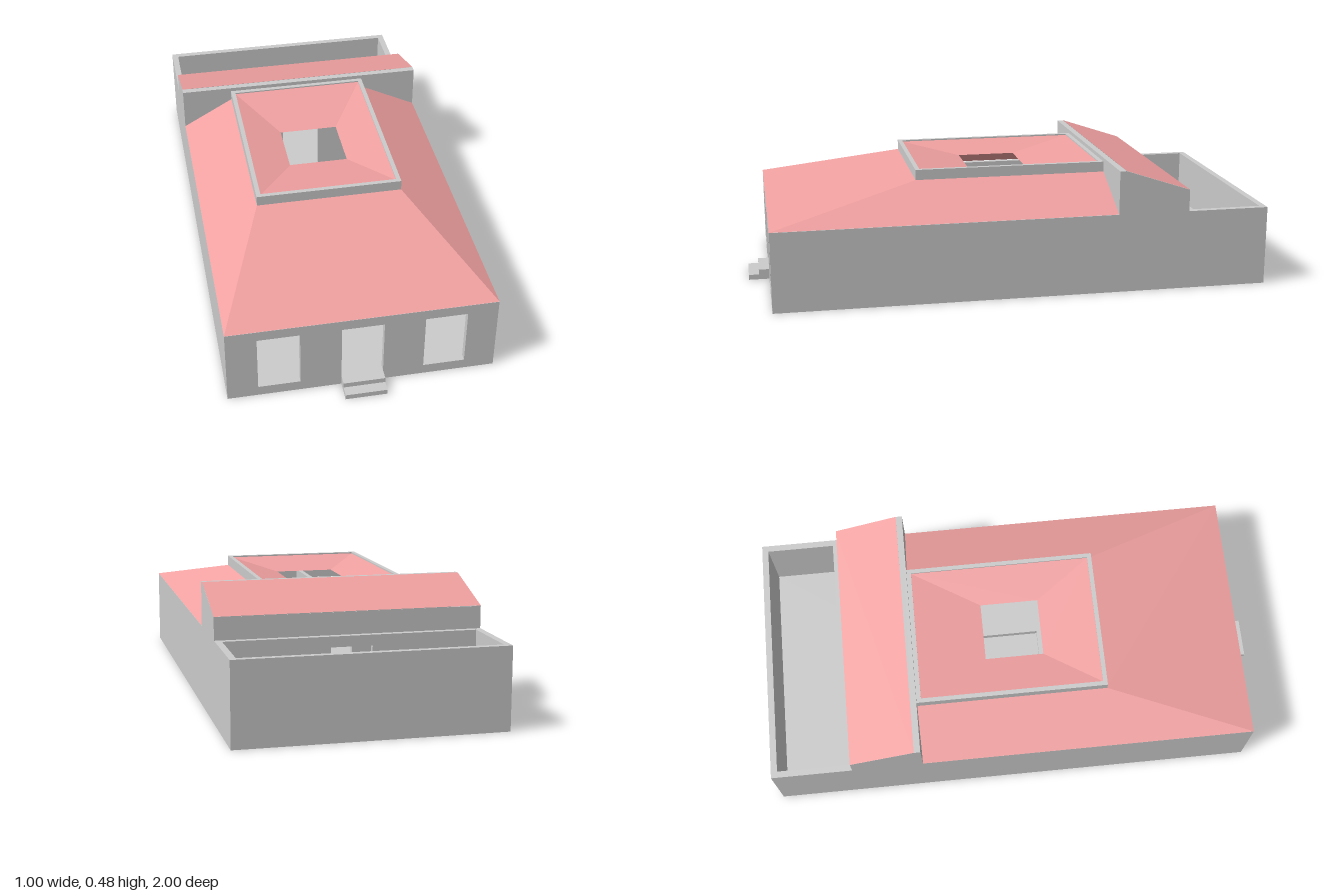
import * as THREE from 'three';

const grey = new THREE.MeshStandardMaterial({ color: 0xcccccc, flatShading: true });
const red = new THREE.MeshStandardMaterial({ color: 0xf0a0a0, flatShading: true, side: THREE.DoubleSide });

const T = 0.025; // wall thickness
const DOOR_BOTTOM = 0.04, DOOR_TOP = 0.27;

// Rectangle given as [x0, y0, x1, y1]
const corners = ([a, b, c, d]) => [[a, b], [c, b], [c, d], [a, d]].map(p => new THREE.Vector2(...p));

// Extruded rectangle with rectangular holes
function panel(outer, holes, depth) {
  const shape = new THREE.Shape(corners(outer));
  holes.forEach(h => shape.holes.push(new THREE.Path(corners(h))));
  return new THREE.ExtrudeGeometry(shape, { depth, bevelEnabled: false });
}

// Open ring of four quads joining two horizontal rectangles [x0, z0, x1, z1]
function roofRing(low, yLow, high, yHigh, sides) {
  const pos = [];
  const a = corners(low).map(p => [p.x, yLow, p.y]);
  const b = corners(high).map(p => [p.x, yHigh, p.y]);
  for (const i of sides) {
    const j = (i + 1) % 4;
    pos.push(...a[i], ...b[i], ...b[j], ...a[i], ...b[j], ...a[j]);
  }
  const g = new THREE.BufferGeometry();
  g.setAttribute('position', new THREE.Float32BufferAttribute(pos, 3));
  g.computeVertexNormals();
  return g;
}

export function createModel() {
  const group = new THREE.Group();
  const add = (name, geometry, material = grey) => {
    const mesh = new THREE.Mesh(geometry, material);
    mesh.name = name;
    group.add(mesh);
    return mesh;
  };
  const box = (name, x0, x1, y0, y1, z0, z1) =>
    add(name, new THREE.BoxGeometry(x1 - x0, y1 - y0, z1 - z0))
      .position.set((x0 + x1) / 2, (y0 + y1) / 2, (z0 + z1) / 2);
  const crossWall = (name, z, top, doors) => {
    const holes = doors.map(x => [x - 0.078, DOOR_BOTTOM, x + 0.078, DOOR_TOP]);
    add(name, panel([-0.5 + T, 0, 0.5 - T, top], holes, T)).position.z = z;
  };
  const flat = (name, outer, hole, y, h) =>
    add(name, panel(outer, [hole], h).rotateX(-Math.PI / 2)).position.y = y;

  // Base and floor with a shallow basin under the roof opening
  box('base', -0.5 + T, 0.5 - T, 0, 0.015, -1 + T, 0.92 - T);
  flat('floor', [-0.5 + T, -0.92 + T, 0.5 - T, 1 - T], [-0.12, -0.12, 0.11, 0.11], 0.015, 0.025);

  // Long side walls, carrying the gable of the rear wing
  const profile = [[0.92, 0], [0.92, 0.31], [-0.4, 0.31], [-0.4, 0.48], [-0.425, 0.48],
    [-0.68, 0.395], [-0.68, 0.31], [-1, 0.31], [-1, 0]];
  const side = new THREE.Shape(profile.map(([z, y]) => new THREE.Vector2(-z, y)));
  for (const x of [-0.5, 0.5 - T]) {
    const g = new THREE.ExtrudeGeometry(side, { depth: T, bevelEnabled: false });
    add('sideWall', g.rotateY(Math.PI / 2)).position.x = x;
  }

  // Walls across the house
  crossWall('frontWall', 0.92 - T, 0.31, [-0.308, 0, 0.308]);
  crossWall('atriumFrontWall', 0.35, 0.31, [0]);
  crossWall('rearWingFrontWall', -0.4 - T, 0.48, [-0.308, 0, 0.308]);
  crossWall('rearWingBackWall', -0.68 - T, 0.31, [0]);
  box('rearWingEaveWall', -0.5 + T, 0.5 - T, 0.31, 0.394, -0.68, -0.679);
  box('gardenBackWall', -0.5 + T, 0.5 - T, 0, 0.31, -1, -1 + T);

  // Entrance passage walls
  for (const x of [-0.17, 0.17]) box('passageWall', x - 0.01, x + 0.01, 0.04, 0.31, 0.36, 0.9);

  // Front steps
  box('lowerStep', -0.078, 0.078, 0, 0.02, 0.92, 1);
  box('upperStep', -0.078, 0.078, 0.02, 0.04, 0.92, 0.96);

  // Main hipped roof: right, front and left slopes against the rear wing
  const rim = [-0.297, -0.4, 0.267, 0.35];
  add('mainRoof', roofRing([-0.5, -0.4, 0.5, 0.92], 0.311, rim, 0.425, [1, 2, 3]), red);

  // Raised rim and the inner roof falling to the opening
  const inner = [-0.28, -0.382, 0.25, 0.333];
  flat('roofRim', [-0.297, -0.35, 0.267, 0.4], [-0.28, -0.333, 0.25, 0.382], 0.425, 0.04);
  add('innerRoof', roofRing(inner, 0.46, [-0.13, -0.115, 0.1, 0.115], 0.425, [0, 1, 2, 3]), red);

  // Sloping roof of the rear wing
  const w = 0.5, slope = new THREE.BufferGeometry();
  slope.setAttribute('position', new THREE.Float32BufferAttribute([
    -w, 0.481, -0.425, w, 0.481, -0.425, w, 0.396, -0.68,
    -w, 0.481, -0.425, w, 0.396, -0.68, -w, 0.396, -0.68], 3));
  slope.computeVertexNormals();
  add('rearWingRoof', slope, red);

  return group;
}
